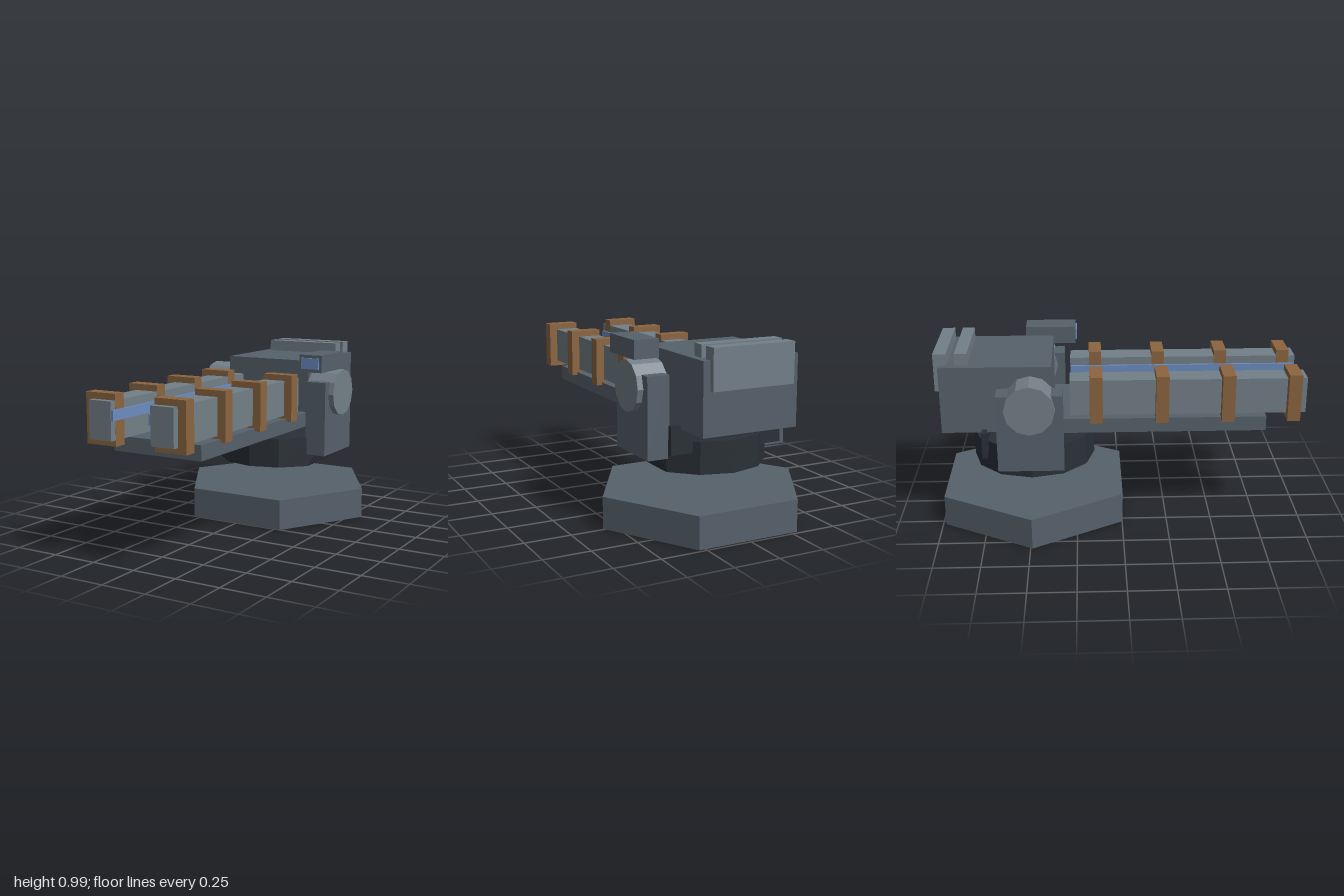
import * as THREE from 'three';

const material = (color) => new THREE.MeshStandardMaterial({ color, flatShading: true });

export function createModel() {
  const model = new THREE.Group();
  const steel = material(0x56616b);
  const light = material(0x737f88);
  const dark = material(0x2a3036);
  const brown = material(0x8b6540);
  const blue = material(0x6b8cc0);

  const add = (name, geometry, mat, x = 0, y = 0, z = 0) => {
    const mesh = new THREE.Mesh(geometry, mat);
    mesh.name = name;
    mesh.position.set(x, y, z);
    model.add(mesh);
    return mesh;
  };
  // Box given by its extents along each axis
  const box = (name, mat, [x0, x1], [y0, y1], [z0, z1]) =>
    add(name, new THREE.BoxGeometry(x1 - x0, y1 - y0, z1 - z0), mat,
      (x0 + x1) / 2, (y0 + y1) / 2, (z0 + z1) / 2);

  const pivotZ = -0.49;

  // Hexagonal base with points to the sides
  const base = new THREE.CylinderGeometry(0.57, 0.57, 0.172, 6).rotateY(Math.PI / 2);
  add('base', base, steel, 0, 0.086, pivotZ);

  // Turntable, with one lower corner cut in on the left side
  const turntable = new THREE.CylinderGeometry(0.34, 0.34, 0.17, 12);
  const p = turntable.attributes.position;
  for (let i = 0; i < p.count; i++) {
    if (p.getY(i) < 0 && p.getX(i) > 0.33) {
      p.setX(i, 0.294);
      p.setZ(i, -0.17);
    }
  }
  add('turntable', turntable, dark, 0, 0.395, pivotZ);
  box('rearCrossPlate', dark, [-0.32, 0.32], [0.42, 0.567], [-0.757, -0.73]);

  // Main housing, cradle and rear plates
  box('housing', steel, [-0.266, 0.266], [0.55, 0.921], [-0.973, -0.375]);
  box('cradle', steel, [-0.265, 0.265], [0.539, 0.62], [-0.4, 0.785]);
  box('rearPlate', light, [-0.228, 0.228], [0.775, 0.985], [-1, -0.93]);
  box('topRib', light, [-0.228, 0.228], [0.775, 0.985], [-0.887, -0.82]);

  // Yoke arms, trunnions, launch rails and their clamps
  for (const side of [-1, 1]) {
    const span = (a, b) => (side > 0 ? [a, b] : [-b, -a]);
    box('yokeArm', steel, span(0.281, 0.404), [0.38, 0.807], [-0.667, -0.315]);
    const trunnion = new THREE.CylinderGeometry(0.135, 0.135, 0.17, 12).rotateZ(Math.PI / 2);
    add('trunnion', trunnion, light, side * 0.35, 0.736, pivotZ);

    box('rail', light, span(0.118, 0.25), [0.636, 0.834], [-0.28, 1]);
    box('railStrip', blue, span(0.106, 0.122), [0.737, 0.79], [-0.28, 0.997]);
    for (let i = 0; i < 4; i++) {
      const z = -0.139 + i * 0.3557;
      box('railClamp', brown, span(0.117, 0.296), [0.604, 0.867], [z - 0.035, z + 0.035]);
    }
  }

  // Sight on the left arm
  box('sightBox', steel, [0.27, 0.41], [0.871, 0.97], [-0.533, -0.25]);
  box('sightLens', blue, [0.285, 0.393], [0.89, 0.953], [-0.3, -0.24]);

  return model;
}
